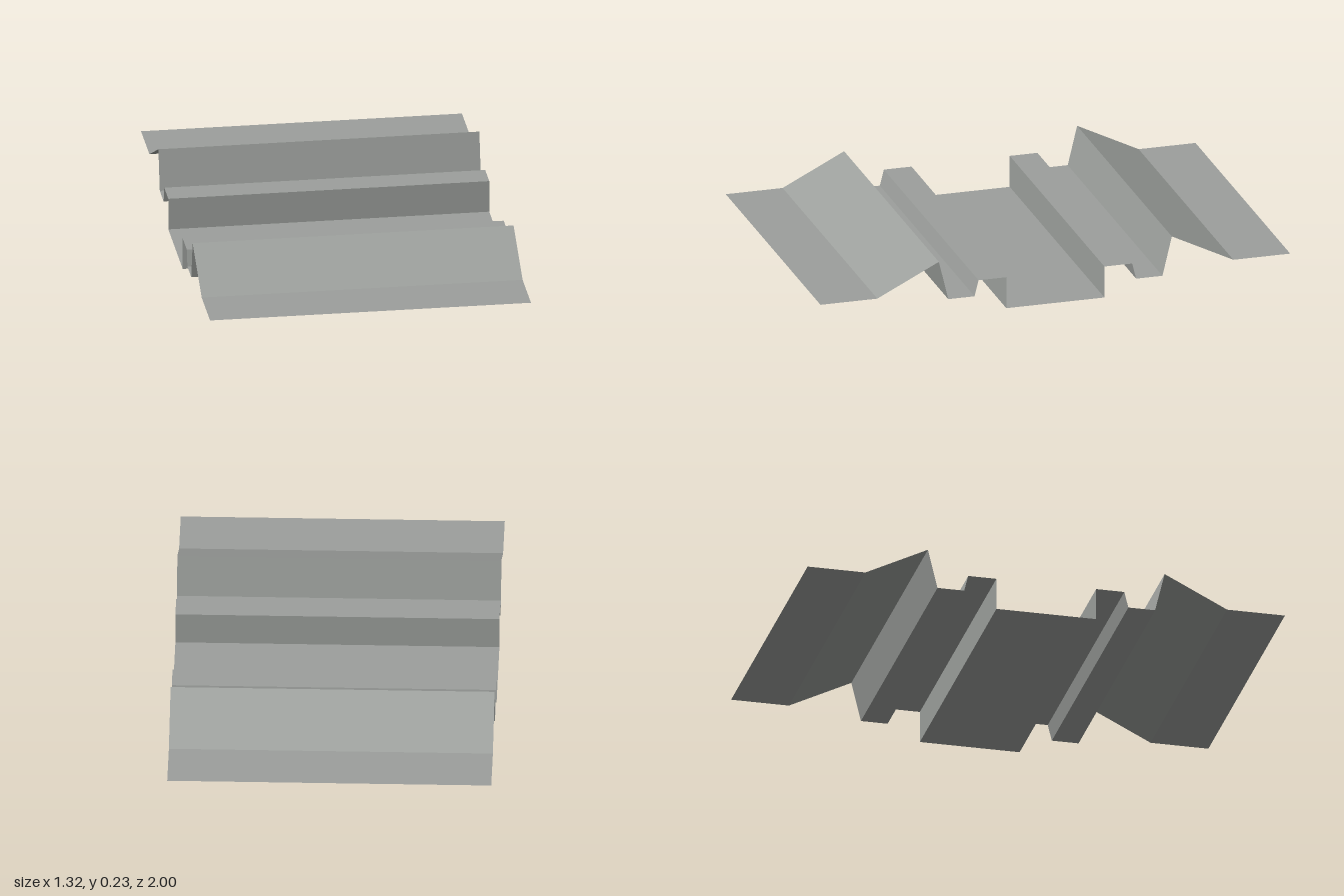
import * as THREE from 'three';

const HALF_WIDTH = 0.66;

// Half of the folded profile as [z, y], from the outer flange to the central pan
const HALF_PROFILE = [
  [1.0, 0.103],   // flange edge
  [0.758, 0.103], // flange fold
  [0.496, 0.234], // ridge peak
  [0.456, 0.067], // gutter, outer fold
  [0.344, 0.067], // gutter, inner fold
  [0.327, 0.135], // step, outer fold
  [0.209, 0.135], // step, inner fold
  [0.209, 0.0],   // central pan
];

// One flat strip across the full width between two profile points
function strip([z0, y0], [z1, y1]) {
  const w = HALF_WIDTH;
  const a = [-w, y0, z0], b = [w, y0, z0], c = [w, y1, z1], d = [-w, y1, z1];
  return [a, b, c, a, c, d].flat();
}

export function createModel() {
  const group = new THREE.Group();
  group.name = 'foldedSheet';

  const sheetGrey = new THREE.MeshStandardMaterial({ color: 0x9c9f9c, side: THREE.DoubleSide, flatShading: true });
  sheetGrey.name = 'sheetGrey';

  // Mirror the half profile front to back
  const mirrored = HALF_PROFILE.map(([z, y]) => [-z, y]).reverse();
  const profile = [...HALF_PROFILE, ...mirrored];

  const positions = [];
  for (let i = 0; i < profile.length - 1; i++) {
    positions.push(...strip(profile[i], profile[i + 1]));
  }

  // Separate corners per strip keep every fold sharp
  const geometry = new THREE.BufferGeometry();
  geometry.setAttribute('position', new THREE.Float32BufferAttribute(positions, 3));
  geometry.computeVertexNormals();

  const sheet = new THREE.Mesh(geometry, sheetGrey);
  sheet.name = 'corrugatedSheet';
  group.add(sheet);
  return group;
}
